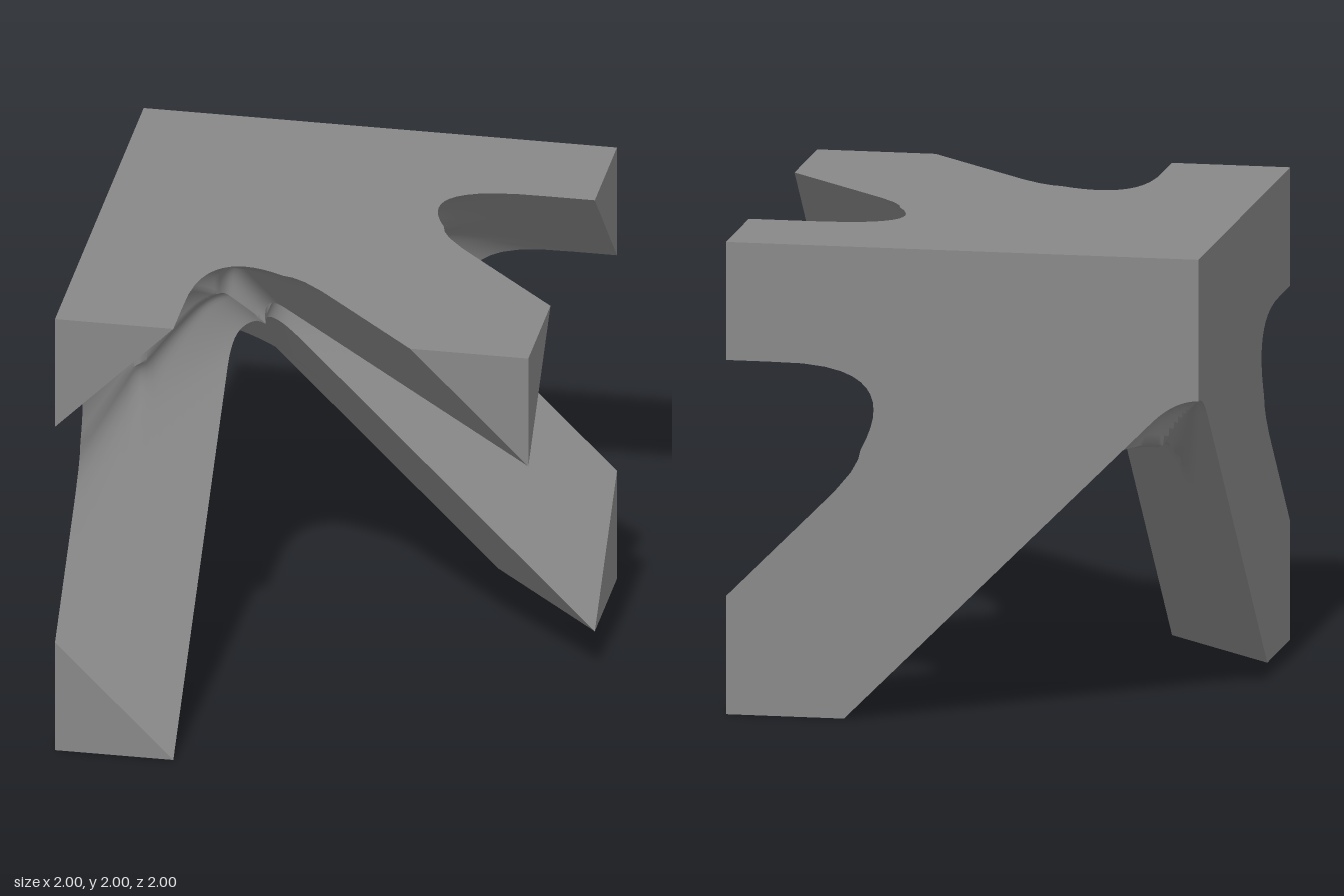
import * as THREE from 'three';
import { toCreasedNormals } from 'three/addons/utils/BufferGeometryUtils.js';

// Corner coordinates: a = x + 1, b = 2 - y, c = z + 1, each from 0 to 2.
const N = 40;
const SIZE = 2;

const clamp01 = (t) => Math.min(1, Math.max(0, t));

// Smooth minimum: fills the joint between two arms with a fillet
function blend(p, q, k) {
  if (k < 1e-6) return Math.min(p, q);
  const h = Math.max(0, 1 - Math.abs(p - q) / k);
  return Math.min(p, q) - (h * h * k) / 4;
}

// The joint is solid where this is below 0.5
function field(a, b, c) {
  const p1 = b + c - a;
  const p2 = a + c - b;
  const p3 = a + b - c;
  // Web between the two descending arms, with a lip under the corner
  const t = Math.min(a, c);
  const webK = t < 0.2 ? 7 * t : 1.4 - 1.15 * clamp01((t - 0.2) / 0.4);
  let d = blend(Math.max(p1, p2), Math.max(p2, p3), webK);
  // Horizontal diagonal arm
  d = blend(d, Math.max(p1, p3), 0.4);
  // Two straight arms along the top edges
  const edgeK = (along, m) => 0.75 * clamp01((along - m) / (along + m + 1e-9) / 0.25);
  d = blend(d, b + c, edgeK(a, Math.max(b, c)));
  return blend(d, a + b, edgeK(c, Math.max(a, b)));
}

// Move a point of the far cube faces towards the corner until it meets the surface
function project(q) {
  const solid = (s) => field(q[0] * s, q[1] * s, q[2] * s) <= 0.5 + 1e-5;
  const steps = 80;
  let s = 1;
  for (let i = 1; i <= steps; i++) {
    if (solid(i / steps)) continue;
    let lo = (i - 1) / steps;
    let hi = i / steps;
    for (let n = 0; n < 24; n++) {
      const mid = (lo + hi) / 2;
      if (solid(mid)) lo = mid;
      else hi = mid;
    }
    s = lo;
    break;
  }
  return { p: q.map((v) => v * s), end: s > 0.9999 };
}

const toWorld = (p) => new THREE.Vector3(p[0] - 1, 2 - p[1], p[2] - 1);

// Add a triangle wound so that it faces along the outward hint
function addTriangle(list, p, q, r, outward) {
  const A = toWorld(p), B = toWorld(q), C = toWorld(r);
  const normal = B.clone().sub(A).cross(C.clone().sub(A));
  const order = normal.dot(outward) >= 0 ? [A, B, C] : [A, C, B];
  order.forEach((v) => list.push(v.x, v.y, v.z));
}

function buildMesh(name, list, material, crease) {
  const geometry = new THREE.BufferGeometry();
  geometry.setAttribute('position', new THREE.Float32BufferAttribute(list, 3));
  const mesh = new THREE.Mesh(toCreasedNormals(geometry, crease), material);
  mesh.name = name;
  return mesh;
}

export function createModel() {
  const group = new THREE.Group();
  group.name = 'latticeJoint';
  const grey = new THREE.MeshStandardMaterial({ color: 0x888888 });
  grey.name = 'grey';

  const arms = [];
  const ends = [];
  const plates = [[], [], []];
  const corner = [0, 0, 0];
  const cornerWorld = toWorld(corner);

  for (let k = 0; k < 3; k++) {
    const u = (k + 1) % 3;
    const v = (k + 2) % 3;
    const grid = [];
    for (let i = 0; i <= N; i++) {
      grid.push([]);
      for (let j = 0; j <= N; j++) {
        const q = [0, 0, 0];
        q[k] = SIZE;
        q[u] = (SIZE * i) / N;
        q[v] = (SIZE * j) / N;
        grid[i].push(project(q));
      }
    }

    // Inner blended surface and the flat ends of the arms
    const face = (A, B, C) => {
      const mid = [0, 1, 2].map((n) => (A.p[n] + B.p[n] + C.p[n]) / 3);
      const list = A.end && B.end && C.end ? ends : arms;
      addTriangle(list, A.p, B.p, C.p, toWorld(mid).sub(cornerWorld));
    };
    for (let i = 0; i < N; i++) {
      for (let j = 0; j < N; j++) {
        const A = grid[i][j], B = grid[i + 1][j];
        const C = grid[i + 1][j + 1], D = grid[i][j + 1];
        if (i < N / 4 && j < N / 4) {
          face(A, B, D);
          face(B, C, D);
        } else {
          face(A, B, C);
          face(A, C, D);
        }
      }
    }

    // Flat outer plates, fanned out from the corner
    for (let i = 0; i < N; i++) {
      const outV = new THREE.Vector3(v === 0 ? -1 : 0, v === 1 ? 1 : 0, v === 2 ? -1 : 0);
      const outU = new THREE.Vector3(u === 0 ? -1 : 0, u === 1 ? 1 : 0, u === 2 ? -1 : 0);
      addTriangle(plates[v], corner, grid[i][0].p, grid[i + 1][0].p, outV);
      addTriangle(plates[u], corner, grid[0][i].p, grid[0][i + 1].p, outU);
    }
  }

  group.add(buildMesh('blendedArms', arms, grey, 0.6));
  group.add(buildMesh('armEnds', ends, grey, 0.3));
  ['sidePlate', 'topPlate', 'backPlate'].forEach((name, n) => {
    group.add(buildMesh(name, plates[n], grey, 0.3));
  });
  return group;
}
